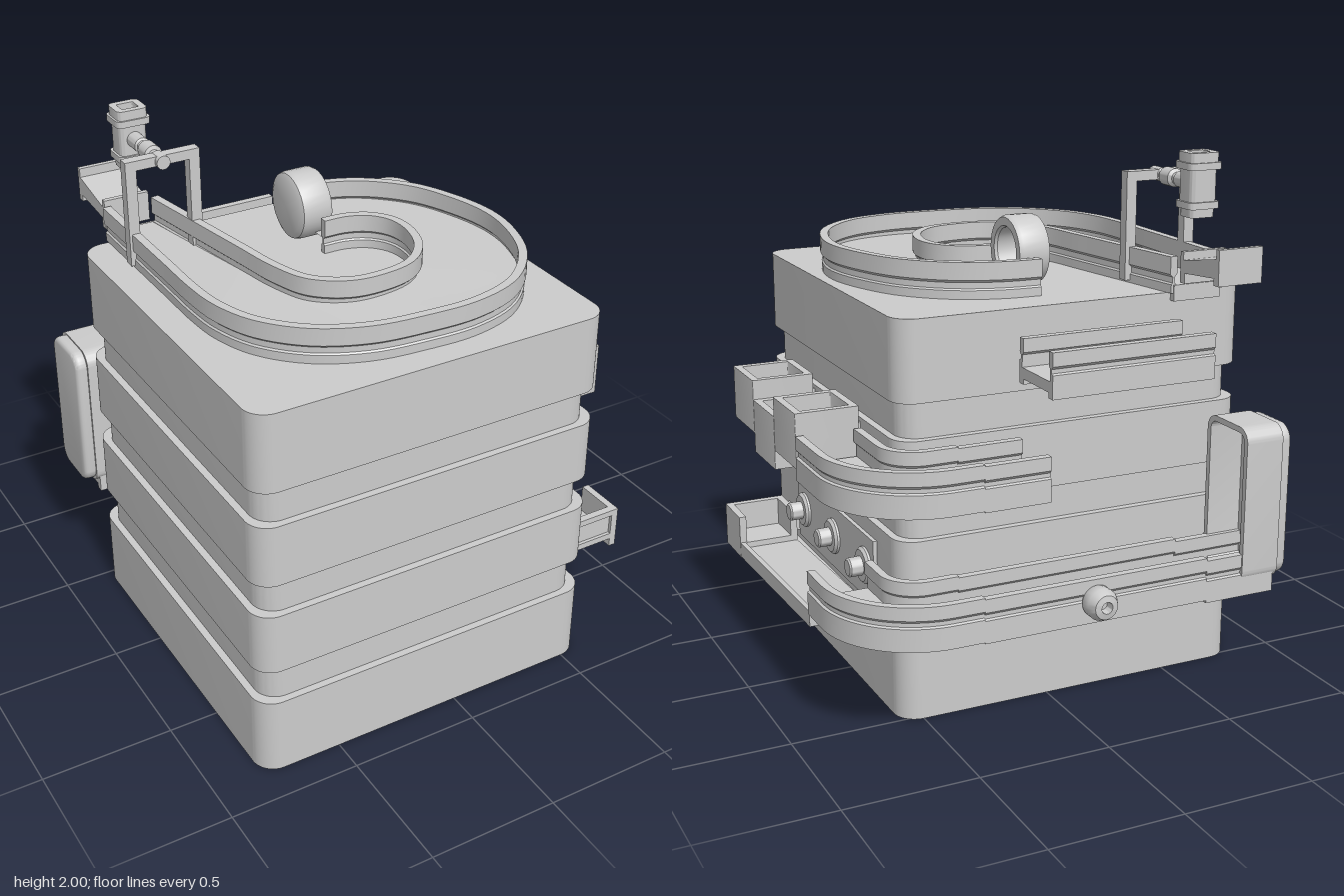
import * as THREE from 'three';
import { toCreasedNormals } from 'three/addons/utils/BufferGeometryUtils.js';

const V = (x, y, z) => new THREE.Vector3(x, y, z);

export function createModel() {
  const root = new THREE.Group();
  const mat = new THREE.MeshStandardMaterial({ color: 0xcccccc });

  function add(name, geo, x = 0, y = 0, z = 0) {
    const flat = geo.index ? geo.toNonIndexed() : geo;
    const mesh = new THREE.Mesh(toCreasedNormals(flat, 0.6), mat);
    mesh.name = name;
    mesh.position.set(x, y, z);
    root.add(mesh);
    return mesh;
  }
  const box = (name, x0, x1, y0, y1, z0, z1) =>
    add(name, new THREE.BoxGeometry(x1 - x0, y1 - y0, z1 - z0), (x0 + x1) / 2, (y0 + y1) / 2, (z0 + z1) / 2);

  function roundRect(target, w, d, r) {
    const a = w / 2 - r, b = d / 2 - r, q = Math.PI / 2;
    [[a, b], [-a, b], [-a, -b], [a, -b]].forEach(([x, y], i) => target.absarc(x, y, r, i * q, (i + 1) * q, false));
    target.closePath();
    return target;
  }

  // Upright rounded slab standing on y = 0; wall > 0 makes it a tube
  function slab(w, d, r, h, wall = 0, bevel = 0) {
    const shape = roundRect(new THREE.Shape(), w - 2 * bevel, d - 2 * bevel, r);
    if (wall) shape.holes.push(roundRect(new THREE.Path(), w - 2 * wall, d - 2 * wall, Math.max(r - wall, 0.004)));
    const geo = new THREE.ExtrudeGeometry(shape, {
      depth: h - 2 * bevel, curveSegments: 8, bevelEnabled: bevel > 0,
      bevelSize: bevel, bevelThickness: bevel, bevelSegments: 3,
    });
    return geo.translate(0, 0, bevel).rotateX(-Math.PI / 2);
  }

  // Sweep a closed section [side, up] along a path, with end caps
  function sweep(section, path) {
    const rings = path.map((p, i) => {
      const d = path[Math.min(i + 1, path.length - 1)].clone().sub(path[Math.max(i - 1, 0)]).setY(0).normalize();
      const s = d.cross(V(0, 1, 0));
      return section.map(([u, v]) => p.clone().addScaledVector(s, u).add(V(0, v, 0)));
    });
    const tri = [], n = section.length;
    for (let i = 0; i + 1 < rings.length; i++) {
      const a = rings[i], b = rings[i + 1];
      for (let j = 0; j < n; j++) {
        const k = (j + 1) % n;
        tri.push(a[j], b[j], b[k], a[j], b[k], a[k]);
      }
    }
    const caps = THREE.ShapeUtils.triangulateShape(section.map(([u, v]) => new THREE.Vector2(u, v)), []);
    const last = rings[rings.length - 1];
    caps.forEach(([a, b, c]) => tri.push(rings[0][a], rings[0][b], rings[0][c], last[a], last[c], last[b]));
    return new THREE.BufferGeometry().setFromPoints(tri);
  }

  const lathe = pts => new THREE.LatheGeometry(pts.map(p => new THREE.Vector2(...p)), 32);

  // Tower of wide bands and recessed joints
  const CX = -0.113, CZ = 0.178;
  const levels = [0, 0.305, 0.445, 0.685, 0.815, 1.055, 1.19, 1.49];
  for (let i = 0; i + 1 < levels.length; i++) {
    const size = i % 2 ? 1.34 : 1.396;
    add(i % 2 ? 'recessedJoint' : 'towerBand', slab(size, size, 0.085, levels[i + 1] - levels[i]), CX, levels[i], CZ);
  }

  // Spiral channel on the tower top
  const spline = (pts, n) => new THREE.CatmullRomCurve3(pts.map(([x, z]) => V(x, 0, z)), false, 'centripetal').getSpacedPoints(n);
  const outer = spline([[-0.04, -0.362], [0.1, -0.35], [0.26, -0.29], [0.41, -0.15], [0.49, 0.02], [0.53, 0.2],
    [0.515, 0.36], [0.44, 0.55], [0.29, 0.70], [0.1, 0.762], [-0.1, 0.762], [-0.3, 0.735], [-0.48, 0.65],
    [-0.61, 0.51], [-0.67, 0.35], [-0.685, 0.2], [-0.685, 0], [-0.685, -0.3], [-0.685, -0.54]], 90);
  const inner = spline([[-0.04, -0.038], [0.05, -0.034], [0.13, 0], [0.185, 0.07], [0.198, 0.17], [0.155, 0.31],
    [0.06, 0.405], [-0.08, 0.436], [-0.2, 0.42], [-0.31, 0.34], [-0.365, 0.2], [-0.4, 0],
    [-0.45, -0.3], [-0.49, -0.54]], 90);
  const wall = [[-0.011, 0], [0.011, 0], [0.011, 0.032], [0.005, 0.038], [0.005, 0.06], [0.016, 0.07], [0.016, 0.135],
    [-0.016, 0.135], [-0.016, 0.07], [-0.005, 0.06], [-0.005, 0.038], [-0.011, 0.032]];
  add('outerChannelWall', sweep(wall, outer), 0, 1.49, 0);
  add('innerChannelWall', sweep(wall, inner), 0, 1.49, 0);
  const floor = [];
  for (let i = 0; i < 90; i++) {
    const at = (p, k) => p[k].clone().setY(1.55 - 0.03 * k / 90);
    const [a, b, c, d] = [at(outer, i), at(outer, i + 1), at(inner, i + 1), at(inner, i)];
    floor.push(a, d, c, a, c, b);
  }
  const floorMesh = add('channelFloor', new THREE.BufferGeometry().setFromPoints(floor));
  floorMesh.material = mat.clone();
  floorMesh.material.side = THREE.DoubleSide;
  box('channelSpout', -0.685, -0.49, 1.46, 1.52, -0.545, -0.515);

  // Round water inlet, open towards +x
  const cup = lathe([[0, 0], [0.105, 0], [0.125, 0.01], [0.13, 0.028], [0.13, 0.115], [0.122, 0.13], [0.092, 0.13],
    [0.085, 0.12], [0.085, 0.03], [0, 0.03]]);
  add('waterInlet', cup.rotateZ(-Math.PI / 2), -0.107, 1.63, -0.2);

  // Gantry with tap
  for (const x of [-0.69, -0.44]) box('gantryPost', x - 0.021, x + 0.021, 1.5, 1.905, -0.312, -0.27);
  box('gantryBar', -0.711, -0.419, 1.868, 1.905, -0.312, -0.27);
  const arm = lathe([[0, 0], [0.026, 0], [0.026, 0.06], [0.02, 0.065], [0.02, 0.085], [0.034, 0.09], [0.034, 0.15],
    [0.022, 0.16], [0.022, 0.18], [0.03, 0.185], [0.03, 0.255], [0, 0.255]]);
  add('tapArm', arm.rotateX(-Math.PI / 2), -0.57, 1.885, -0.25);
  [[0.1, 1.768, 1.8], [0.126, 1.8, 1.825], [0.108, 1.825, 1.94], [0.134, 1.94, 1.965], [0.118, 1.965, 2]].forEach(([w, y0, y1]) =>
    add('tapBody', slab(w, w * 0.9, 0.022, y1 - y0, 0.026), -0.57, y0, -0.553));
  add('tapCore', slab(0.09, 0.08, 0.015, 0.16), -0.57, 1.79, -0.553);

  // Troughs: H-shaped section swept along straight or curved runs
  const half = [[0.095, 0.02], [0.095, 0], [0.125, 0], [0.125, 0.085], [0.116, 0.09], [0.116, 0.105],
    [0.125, 0.115], [0.125, 0.165], [0.095, 0.165], [0.095, 0.115], [0.105, 0.105], [0.105, 0.06]];
  const trough = [...half, ...half.map(([u, v]) => [-u, v]).reverse()];
  const cornerRun = (x0, zEnd, y) => {
    const path = [V(x0, y, -0.675)];
    for (let i = 0; i <= 20; i++) {
      const a = i / 20 * Math.PI / 2;
      path.push(V(0.495 + 0.235 * Math.sin(a), y, -0.44 - 0.235 * Math.cos(a)));
    }
    path.push(V(0.73, y, zEnd));
    return path;
  };
  add('upperBackTrough', sweep(trough, [V(-0.51, 1.23, -0.675), V(0.135, 1.23, -0.675)]));
  add('middleCornerTrough', sweep(trough, cornerRun(0.385, -0.22, 0.87)));
  add('middleEndTrough', sweep(trough, [V(0.135, 0.865, -0.675), V(0.385, 0.865, -0.675)]));
  add('lowerCornerTrough', sweep(trough, cornerRun(0.385, -0.3, 0.39)));
  add('lowerBackTrough', sweep(trough, [V(-0.51, 0.385, -0.675), V(0.385, 0.385, -0.675)]));
  add('bucketTrough', sweep(trough, [V(-0.8, 0.375, -0.675), V(-0.51, 0.375, -0.675)]));

  // Tilted catch tray below the spout
  const tray = [[-0.125, 0.03], [-0.095, 0.03], [-0.095, 0.055], [0.095, 0.038], [0.095, 0], [0.125, 0], [0.125, 0.115],
    [0.105, 0.115], [0.105, 0.085], [-0.105, 0.125], [-0.105, 0.16], [-0.125, 0.16]];
  add('catchTray', sweep(tray, [V(-0.69, 1.53, -0.675), V(-0.51, 1.53, -0.675)]));

  // Tall bucket, open towards +x
  add('bucketShell', slab(0.6, 0.265, 0.055, 0.155, 0.022).rotateZ(Math.PI / 2), -0.66, 0.72, -0.673);
  add('bucketBack', slab(0.59, 0.25, 0.045, 0.06, 0, 0.018).rotateZ(Math.PI / 2), -0.8, 0.72, -0.673);

  // Nozzle on the lower trough
  const nozzle = lathe([[0.055, 0], [0.06, 0.01], [0.06, 0.05], [0.045, 0.08], [0.022, 0.085], [0.018, 0.05], [0, 0.05]]);
  add('nozzle', nozzle.rotateX(-Math.PI / 2), -0.05, 0.47, -0.795);
  const stub = new THREE.CylinderGeometry(0.06, 0.06, 0.035, 32).rotateX(Math.PI / 2);
  add('nozzleStub', stub, -0.05, 0.47, -0.545);

  // Stepped basins on the +x side
  [[-0.0875, 0.91], [0.1575, 0.835], [0.4025, 0.91]].forEach(([z, y]) => {
    add('basinWalls', slab(0.242, 0.245, 0.004, 0.205, 0.028), 0.73, y, z);
    add('basinFloor', slab(0.24, 0.243, 0.004, 0.045), 0.73, y + 0.001, z);
    box('basinBracket', 0.55, 0.612, 0.88, 1.04, z - 0.07, z + 0.07);
  });

  // Control panel with three knobs
  box('knobPanel', 0.55, 0.6, 0.375, 0.625, -0.3, 0.53);
  for (const z of [0.45, 0.12, -0.215]) {
    const knob = lathe([[0.07, 0], [0.07, 0.012], [0.06, 0.022], [0.036, 0.022], [0.036, 0.068], [0.03, 0.074], [0, 0.074]]);
    add('knob', knob.rotateZ(-Math.PI / 2), 0.597, 0.505, z);
  }

  // Sloping chute and its end basin
  const chute = [[-0.12, 0], [0.12, 0], [0.12, 0.06], [0.1, 0.06], [0.1, 0.035], [-0.12, 0.035]];
  add('chute', sweep(chute.map(([u, v]) => [-u, v]).reverse(), [V(0.73, 0.338, -0.3), V(0.73, 0.312, 0.535)]));
  for (const x of [0.623, 0.837]) box('endBasinSide', x - 0.014, x + 0.014, 0.31, 0.48, 0.535, 0.725);
  box('endBasinFloor', 0.635, 0.825, 0.345, 0.37, 0.535, 0.725);
  box('endBasinFront', 0.635, 0.825, 0.36, 0.46, 0.695, 0.712);
  box('endBasinRim', 0.635, 0.825, 0.455, 0.48, 0.695, 0.725);
  box('endBasinBracket', 0.55, 0.612, 0.38, 0.46, 0.56, 0.7);

  return root;
}
